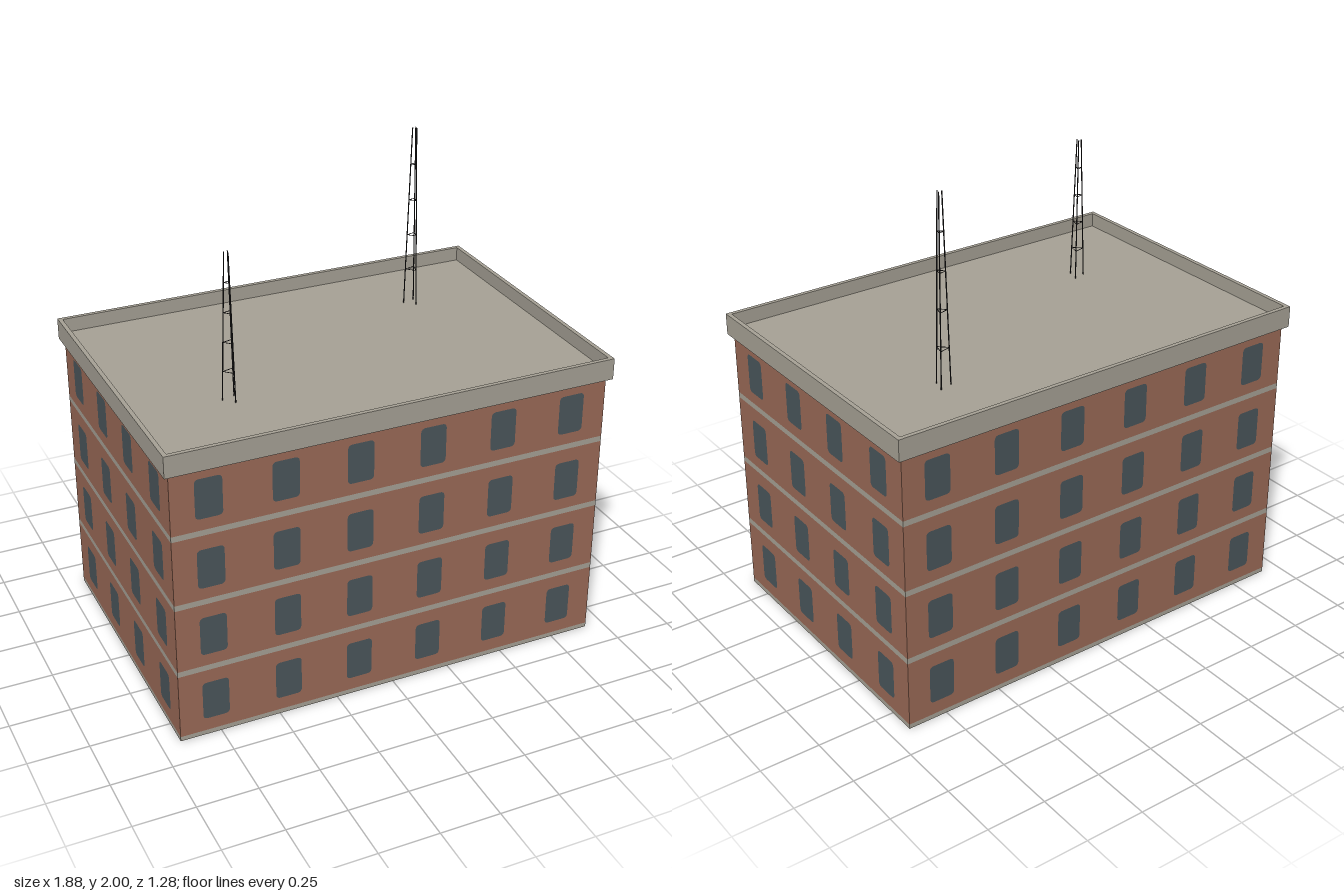
import * as THREE from 'three';
import { mergeGeometries } from 'three/addons/utils/BufferGeometryUtils.js';

const mat = (name, color, side = THREE.DoubleSide) => new THREE.MeshStandardMaterial({ name, color, side });

const HALF_X = 0.92, HALF_Z = 0.62, WALL_TOP = 1.2, ROOF_Y = 1.22;
const FLOOR = 0.302, BAND = 0.024, PITCH = 0.307;

// Adds a rectangle with optional rounded corners to a path
function rect(path, x0, y0, x1, y1, r = 0) {
  path.moveTo(x0 + r, y0);
  path.lineTo(x1 - r, y0);
  if (r) path.quadraticCurveTo(x1, y0, x1, y0 + r);
  path.lineTo(x1, y1 - r);
  if (r) path.quadraticCurveTo(x1, y1, x1 - r, y1);
  path.lineTo(x0 + r, y1);
  if (r) path.quadraticCurveTo(x0, y1, x0, y1 - r);
  path.lineTo(x0, y0 + r);
  if (r) path.quadraticCurveTo(x0, y0, x0 + r, y0);
  path.closePath();
  return path;
}

// One facade: brick strips with window openings, flush panes and floor bands
function facade(halfWidth, columns, mats) {
  const bricks = [], panes = [], bands = [];
  for (let f = 0; f < 4; f++) {
    const y = f === 0 ? -0.004 : f * FLOOR;
    const top = f === 3 ? WALL_TOP : (f + 1) * FLOOR;
    bands.push(new THREE.ShapeGeometry(rect(new THREE.Shape(), -halfWidth, Math.max(y, 0), halfWidth, y + BAND)));
    const brick = rect(new THREE.Shape(), -halfWidth, y + BAND, halfWidth, top);
    for (let c = 0; c < columns; c++) {
      const x = (c - (columns - 1) / 2) * PITCH, sill = 0.075 + f * 0.301;
      const box = [x - 0.055, sill, x + 0.055, sill + 0.169, 0.02];
      brick.holes.push(rect(new THREE.Path(), ...box));
      panes.push(new THREE.ShapeGeometry(rect(new THREE.Shape(), ...box)));
    }
    bricks.push(new THREE.ShapeGeometry(brick));
  }
  const side = new THREE.Group();
  for (const [name, list, m] of [['brickWall', bricks, mats.brick], ['windows', panes, mats.glass], ['floorBands', bands, mats.stone]]) {
    const mesh = new THREE.Mesh(mergeGeometries(list), m);
    mesh.name = name;
    side.add(mesh);
  }
  return side;
}

// Thin rod between two points
function rod(a, b, radius) {
  const dir = b.clone().sub(a);
  const g = new THREE.CylinderGeometry(radius, radius, dir.length(), 5);
  g.applyQuaternion(new THREE.Quaternion().setFromUnitVectors(new THREE.Vector3(0, 1, 0), dir.normalize()));
  const mid = a.clone().add(b).multiplyScalar(0.5);
  return g.translate(mid.x, mid.y, mid.z);
}

// Tapering three-legged mast with four levels of rungs
function mast(height, material) {
  const at = (leg, t) => {
    const angle = THREE.MathUtils.degToRad(75 + leg * 120), r = THREE.MathUtils.lerp(0.032, 0.01, t);
    return new THREE.Vector3(Math.cos(angle) * r, t * height, Math.sin(angle) * r);
  };
  const parts = [];
  for (let leg = 0; leg < 3; leg++) {
    parts.push(rod(at(leg, 0), at(leg, 1), 0.0025));
    for (const t of [0.2, 0.4, 0.6, 0.8]) parts.push(rod(at(leg, t), at((leg + 1) % 3, t), 0.0015));
  }
  return new THREE.Mesh(mergeGeometries(parts), material);
}

export function createModel() {
  const model = new THREE.Group();
  model.name = 'apartmentBuilding';
  const mats = {
    brick: mat('brick', 0x9c6b58),
    glass: mat('windowGlass', 0x4b575c),
    stone: mat('stoneTrim', 0xa8a397),
    metal: mat('darkMetal', 0x2a2828, THREE.FrontSide),
  };

  // Four walls, open underneath
  ['frontWall', 'leftWall', 'backWall', 'rightWall'].forEach((name, i) => {
    const wide = i % 2 === 0;
    const wall = facade(wide ? HALF_X : HALF_Z, wide ? 6 : 4, mats);
    wall.name = name;
    wall.rotation.y = i * Math.PI / 2;
    wall.position.set(i === 1 ? HALF_X : i === 3 ? -HALF_X : 0, 0, i === 0 ? HALF_Z : i === 2 ? -HALF_Z : 0);
    model.add(wall);
  });

  // Overhanging parapet ring
  const ring = rect(new THREE.Shape(), -0.94, -0.64, 0.94, 0.64);
  ring.holes.push(rect(new THREE.Path(), -0.922, -0.622, 0.922, 0.622));
  const parapetGeo = new THREE.ExtrudeGeometry(ring, { depth: 0.09, bevelEnabled: false });
  const parapet = new THREE.Mesh(parapetGeo.rotateX(-Math.PI / 2).translate(0, 1.19, 0), mats.stone);
  parapet.name = 'parapet';
  model.add(parapet);

  // Sunken flat roof
  const roof = new THREE.Mesh(new THREE.PlaneGeometry(1.844, 1.244).rotateX(-Math.PI / 2).translate(0, ROOF_Y, 0), mats.stone);
  roof.name = 'roof';
  model.add(roof);

  // Rooftop masts
  for (const [name, x, z, top] of [['tallMast', 0.522, -0.295, 2], ['shortMast', -0.518, 0.223, 1.83]]) {
    const m = mast(top - ROOF_Y, mats.metal);
    m.name = name;
    m.position.set(x, ROOF_Y, z);
    model.add(m);
  }
  return model;
}
